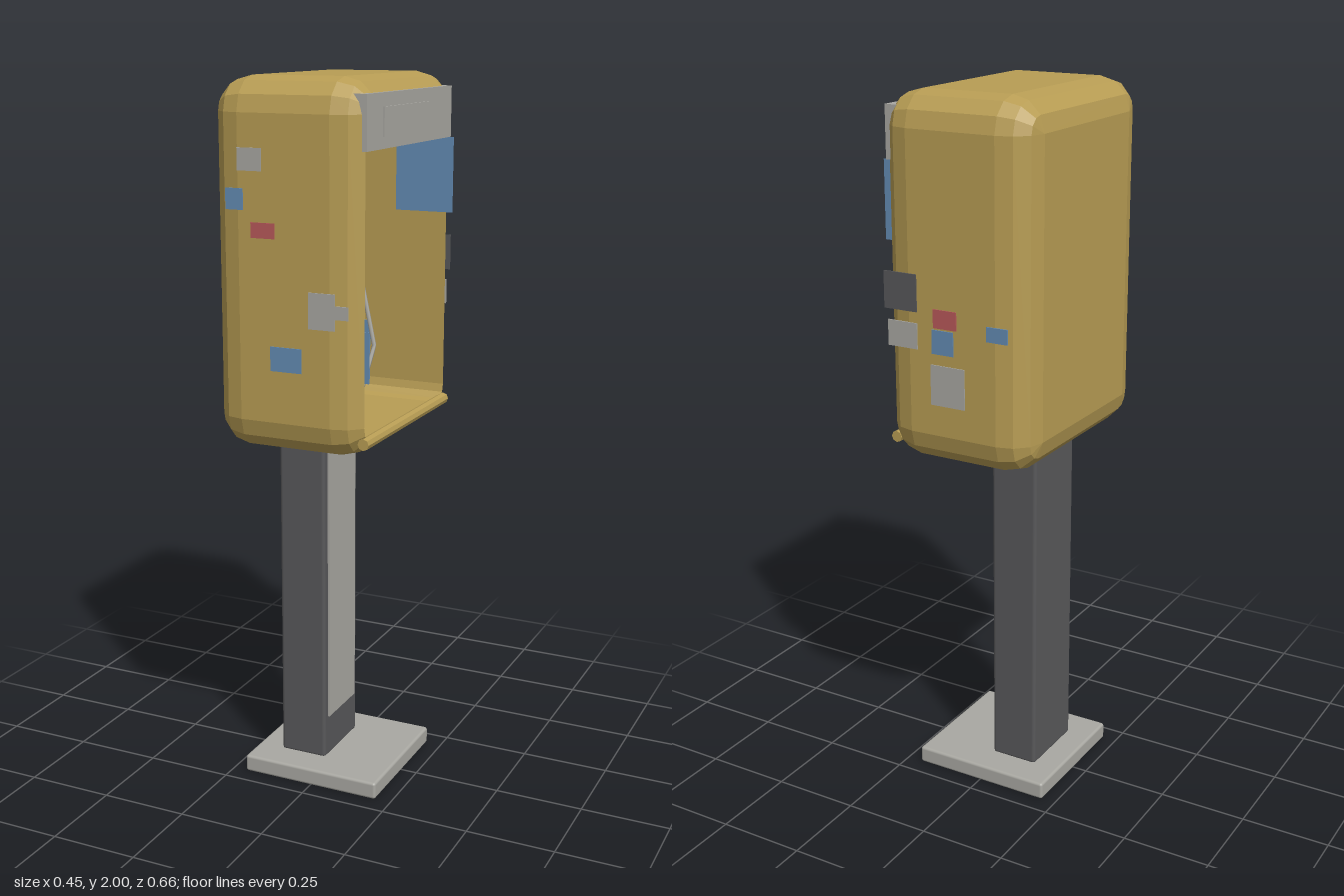
import * as THREE from 'three';
import { RoundedBoxGeometry } from 'three/addons/geometries/RoundedBoxGeometry.js';

const material = (name, color, extra = {}) => {
  const m = new THREE.MeshStandardMaterial({ color, ...extra });
  m.name = name;
  return m;
};

// Hood skin: rounded rectangles lofted along x, out to the rim and back inside.
// Each station is [x, half flat depth z, half flat height y, corner radius].
function hoodGeometry() {
  const r = 0.09, hz = 0.235, hy = 0.4, midY = 1.51, steps = 3;
  const stations = [[-0.225, 0, 0, 0]];
  for (let i = 0; i <= steps; i++) {
    const a = (i / steps) * Math.PI / 2;
    stations.push([-0.135 - r * Math.cos(a), hz, hy, r * Math.sin(a)]);
  }
  for (let i = 0; i < steps; i++) {
    const a = (i / steps) * Math.PI / 2;
    stations.push([0.125 + r * Math.sin(a), hz, hy, r * Math.cos(a)]);
  }
  stations.push([-0.185, hz, hy, 0.045], [-0.185, 0, 0, 0]);

  const corners = [[1, 1], [-1, 1], [-1, -1], [1, -1]]; // sign of y, sign of z
  const positions = [], index = [];
  for (const [x, z, y, rad] of stations) {
    corners.forEach(([sy, sz], c) => {
      for (let k = 0; k <= steps; k++) {
        const t = (c + k / steps) * Math.PI / 2;
        positions.push(x, midY + sy * y + rad * Math.cos(t), sz * z + rad * Math.sin(t));
      }
    });
  }
  const n = 4 * (steps + 1);
  for (let i = 0; i < stations.length - 1; i++) {
    for (let j = 0; j < n; j++) {
      const a = i * n + j, b = i * n + (j + 1) % n;
      index.push(a, b, b + n, a, b + n, a + n);
    }
  }
  const g = new THREE.BufferGeometry();
  g.setAttribute('position', new THREE.Float32BufferAttribute(positions, 3));
  g.setIndex(index);
  g.computeVertexNormals();
  return g;
}

export function createModel() {
  const gold = material('mustard paint', 0xb89d54, { flatShading: true });
  const grey = material('light grey metal', 0xa9a8a2);
  const dark = material('dark grey metal', 0x58585a);
  const black = material('handset black', 0x434346);
  const blue = material('sticker blue', 0x648cb4);
  const red = material('sticker red', 0xb9595a);

  const model = new THREE.Group();
  model.name = 'payphone';

  const add = (name, geometry, mat, parent = model) => {
    const mesh = new THREE.Mesh(geometry, mat);
    mesh.name = name;
    parent.add(mesh);
    return mesh;
  };
  // Box given by its extents, with an optional rounded edge
  const box = (name, mat, [x0, x1], [y0, y1], [z0, z1], bevel = 0, parent = model) => {
    const s = [x1 - x0, y1 - y0, z1 - z0];
    const g = bevel ? new RoundedBoxGeometry(...s, 2, bevel) : new THREE.BoxGeometry(...s);
    const mesh = add(name, g, mat, parent);
    mesh.position.set((x0 + x1) / 2, (y0 + y1) / 2, (z0 + z1) / 2);
    return mesh;
  };

  // Stand
  box('basePlate', grey, [-0.21, 0.205], [0, 0.05], [-0.2, 0.2], 0.008);
  box('post', dark, [-0.135, 0.005], [0.045, 1.04], [-0.11, 0.11], 0.01);
  box('postCoverPlate', grey, [0.003, 0.01], [0.17, 1.02], [-0.088, 0.088]);

  // Hood with open front, lower lip and header sign
  add('hood', hoodGeometry(), gold);
  const lip = add('hoodLip', new THREE.CylinderGeometry(0.016, 0.016, 0.57, 8), gold);
  lip.rotation.x = Math.PI / 2;
  lip.position.set(0.202, 1.067, 0);
  box('headerBox', grey, [0.07, 0.21], [1.82, 1.96], [-0.287, 0.287]);
  box('headerPlate', grey, [0.209, 0.215], [1.85, 1.925], [-0.11, 0.19]);

  // Telephone body
  const phone = new THREE.Group();
  phone.name = 'telephone';
  model.add(phone);
  box('phoneBody', dark, [-0.186, -0.04], [1.14, 1.86], [-0.115, 0.185], 0.012, phone);
  box('phoneFacePlate', grey, [-0.041, -0.032], [1.44, 1.84], [-0.1, 0.165], 0, phone);
  box('phoneLowerPlate', grey, [-0.041, -0.034], [1.2, 1.38], [-0.08, 0.145], 0, phone);
  box('phoneLabel', blue, [-0.033, -0.029], [1.735, 1.785], [-0.08, 0.118], 0, phone);
  for (let row = 0; row < 4; row++) {
    for (let col = 0; col < 3; col++) {
      const y = 1.66 - row * 0.034, z = 0.074 - col * 0.031;
      box('keyRim', dark, [-0.033, -0.029], [y - 0.011, y + 0.011], [z - 0.013, z + 0.013], 0, phone);
      box('key', grey, [-0.033, -0.024], [y - 0.008, y + 0.008], [z - 0.01, z + 0.01], 0, phone);
    }
  }

  // Handset: grip with an ear and a mouth cup turned to the body
  const handset = new THREE.Group();
  handset.name = 'handset';
  handset.position.set(0.03, 1.64, -0.058);
  phone.add(handset);
  const grip = add('handsetGrip', new THREE.CapsuleGeometry(0.019, 0.25, 4, 10), black, handset);
  grip.scale.x = 0.9;
  for (const s of [1, -1]) {
    const cup = add('handsetCup', new THREE.CylinderGeometry(0.018, 0.024, 0.05, 10), black, handset);
    cup.rotation.z = -Math.PI / 2;
    cup.position.set(-0.02, s * 0.125, 0);
  }
  box('handsetCradle', dark, [-0.035, 0.012], [1.67, 1.72], [-0.078, -0.038], 0, phone);

  // Hanging cord
  const cord = new THREE.CurvePath();
  const knots = [[0.03, 1.49, -0.058], [0.09, 1.26, -0.037], [0.08, 1.095, 0.063], [-0.035, 1.215, 0.127]]
    .map((p) => new THREE.Vector3(...p));
  for (let i = 0; i < 3; i++) cord.add(new THREE.LineCurve3(knots[i], knots[i + 1]));
  add('cord', new THREE.TubeGeometry(cord, 36, 0.006, 6), grey, phone);

  // Stickers: [material, x range, y range] on each wall at a given z
  const walls = {
    leftOuter: [0.326, [
      [grey, [-0.135, -0.066], [1.765, 1.823]],
      [blue, [-0.17, -0.12], [1.665, 1.72]],
      [red, [-0.098, -0.03], [1.595, 1.635]],
      [grey, [0.066, 0.14], [1.37, 1.465]],
      [grey, [0.14, 0.178], [1.4, 1.435]],
      [blue, [-0.045, 0.045], [1.25, 1.315]],
    ]],
    rightOuter: [-0.326, [
      [dark, [0.1, 0.2], [1.44, 1.54]],
      [grey, [0.1, 0.19], [1.34, 1.41]],
      [red, [-0.02, 0.05], [1.405, 1.455]],
      [blue, [-0.01, 0.055], [1.335, 1.4]],
      [grey, [-0.043, 0.06], [1.195, 1.305]],
      [blue, [-0.172, -0.11], [1.39, 1.43]],
    ]],
    leftInner: [0.278, [
      [blue, [0.1, 0.215], [1.23, 1.365]],
      [grey, [-0.12, 0.075], [1.22, 1.37]],
    ]],
    rightInner: [-0.278, [
      [blue, [0.05, 0.222], [1.61, 1.82]],
      [blue, [-0.15, -0.03], [1.1, 1.28]],
    ]],
  };
  for (const [wall, [z, list]] of Object.entries(walls)) {
    for (const [mat, xs, ys] of list) box(wall + 'Sticker', mat, xs, ys, [z - 0.002, z + 0.002]);
  }

  return model;
}
